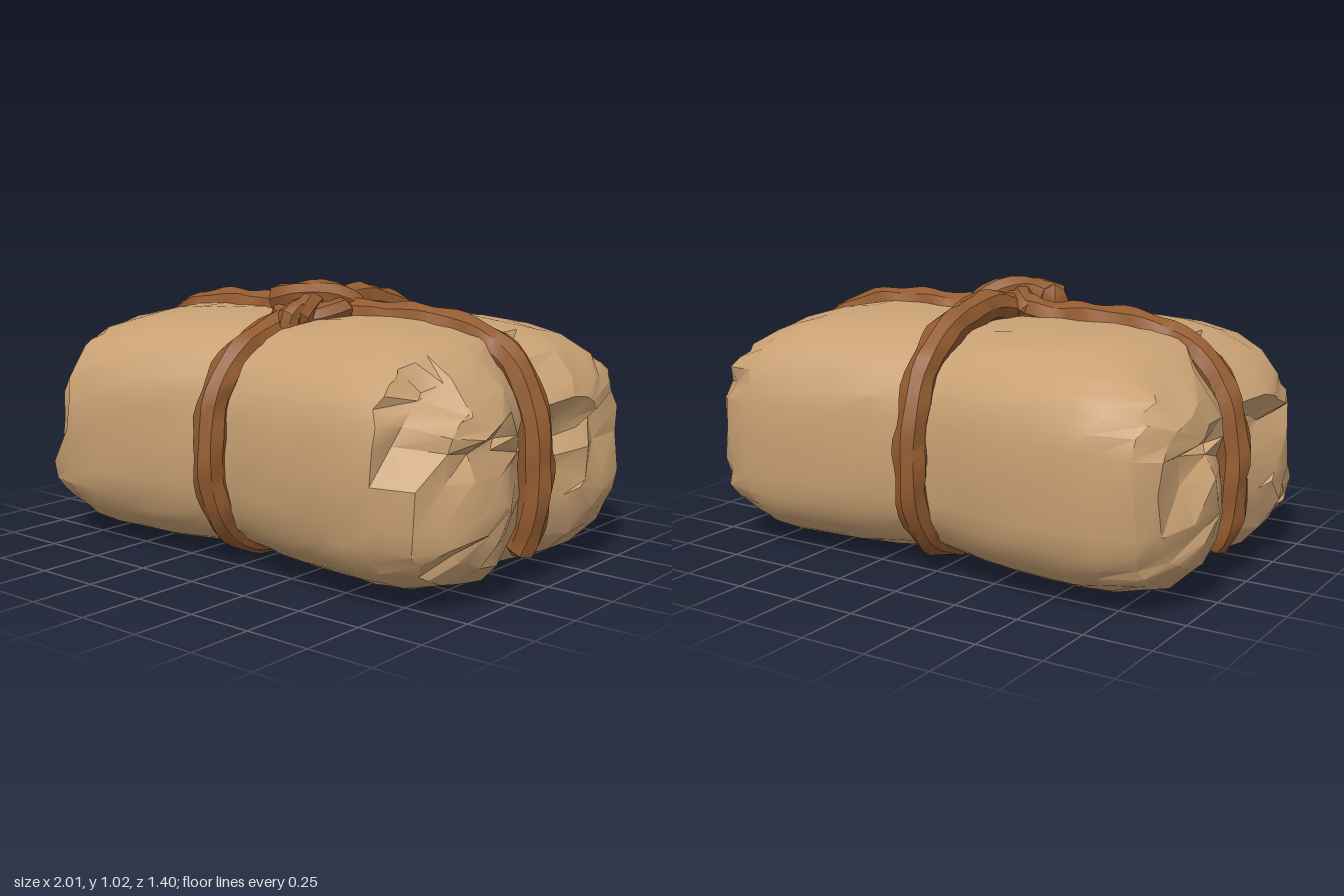
import * as THREE from 'three';
import { toCreasedNormals } from 'three/addons/utils/BufferGeometryUtils.js';

const paper = new THREE.MeshStandardMaterial({ name: 'kraft paper', color: 0xc8a073 });
const twine = new THREE.MeshStandardMaterial({ name: 'brown rope', color: 0x935b30 });

// Repeatable jitter in -1..1
const jitter = (a, b, c, d = 0) => {
  const s = Math.sin(a * 127.1 + b * 311.7 + c * 74.7 + d * 19.3 + 4.1) * 43758.5453;
  return 2 * (s - Math.floor(s)) - 1;
};
const bump = (v, centre, width) => Math.exp(-(((v - centre) / width) ** 2));
const power = (v, e) => Math.sign(v) * Math.abs(v) ** e;

// Half profile from the waist to the middle of an end: [x, z scale, top scale, bottom scale]
const STEPS = 6;
const profile = [
  [0, 0.9, 0.94, 0.93], [0.1, 0.92, 0.965, 0.96], [0.21, 0.945, 0.985, 0.98],
  [0.35, 0.965, 1, 1], [0.49, 0.98, 1, 1], [0.62, 1, 0.98, 1], [0.73, 0.995, 0.93, 0.98],
  [0.86, 0.94, 0.79, 0.9], [0.935, 0.83, 0.61, 0.74], [0.965, 0.62, 0.45, 0.55],
  [0.965, 0.41, 0.3, 0.37], [0.96, 0.2, 0.15, 0.18], [0.955, 0, 0, 0],
];
// Crumpled dents in both ends: [z, y, width, depth]
const dents = [
  [0.23, 0.47, 0.08, 0.05], [-0.44, 0.45, 0.09, 0.06], [0.5, 0.5, 0.08, 0.05], [0.17, 0.2, 0.07, 0.03],
];

// A gridded box whose vertices are moved onto the rounded, creased bundle
function bundleGeometry() {
  const geometry = new THREE.BoxGeometry(2, 2, 2, 2 * STEPS, 2 * STEPS, 2 * STEPS);
  const position = geometry.attributes.position;
  for (let n = 0; n < position.count; n++) {
    const i = Math.round(position.getX(n) * STEPS);
    const j = Math.round(position.getY(n) * STEPS);
    const k = Math.round(position.getZ(n) * STEPS);
    const ring = Math.max(Math.abs(j), Math.abs(k));
    const depth = Math.abs(i) + STEPS - ring;
    const [x0, sz, top, bottom] = profile[depth];
    const end = Math.sign(i);
    const length = Math.hypot(j, k) || 1;
    const c = k / length, s = j / length;
    const cap = THREE.MathUtils.smoothstep(x0, 0.68, 0.92);

    // Rounded section, fuller at the back and flat underneath, gently uneven along its length
    const uneven = 1 + 0.012 * Math.sin(5 * x0 * end + 4 * c + 1) + 0.01 * jitter(i, j, k, 1);
    const e = s < 0 ? 0.6 : 0.69 + 0.02 * Math.sign(c);
    let z = 0.685 * sz * power(c, e) * uneven;
    let y = 0.45 + (s < 0 ? 0.44 * bottom : 0.455 * top * uneven) * power(s, e);
    let x = x0 + 0.02 * jitter(i, j, k, 2) * (depth > 1 && depth < 8 ? 1 : 0);

    // Grooves pressed in by the lengthwise rope
    y -= 0.045 * cap * bump(z, 0, 0.12) * s;

    // Ends: lobes either side of the rope, a horizontal fold and dents
    let push = 0.03 * bump(Math.abs(z), 0.3, 0.17) * bump(y, 0.36, 0.22) - 0.085 * bump(z, 0, 0.13);
    if (Math.abs(z) < 0.5 && y > 0.49 && y < 0.57) push -= 0.05;
    for (const [dz, dy, w, deep] of dents) push -= deep * bump(z, dz, w) * bump(y, dy, w);
    x += cap * (push + 0.01 * jitter(i, j, k, 3));
    if (ring > 0) {
      z += 0.014 * cap * jitter(i, j, k, 4);
      y += 0.01 * cap * jitter(i, j, k, 5);
    }

    // Tucked paper edge at the front corners
    if (depth > STEPS && ring > 3 && z > 0.42 && y > (end < 0 ? 0.3 : 0.45)) {
      z -= 0.04 + 0.015 * jitter(i, j, k, 6);
      if (depth === STEPS + 1 && k === ring) x -= 0.08;
    }
    position.setXYZ(n, end * x, Math.max(y, 0.01), z);
  }
  geometry.deleteAttribute('uv');
  geometry.clearGroups();
  return toCreasedNormals(geometry, 0.5);
}

// Twisted, faceted rope along a smooth curve; open ends are drawn to a point
function rope(name, points, radius, closed = false) {
  const curve = new THREE.CatmullRomCurve3(points.map((p) => new THREE.Vector3(...p)), closed);
  const segments = Math.max(8, Math.round(curve.getLength() / 0.045));
  const sides = 8;
  const geometry = new THREE.TubeGeometry(curve, segments, radius, sides, closed);
  const position = geometry.attributes.position;
  const v = new THREE.Vector3();
  const turns = Math.round(segments / 5);
  for (let i = 0; i <= segments; i++) {
    const centre = curve.getPointAt(i / segments);
    const tip = !closed && (i === 0 || i === segments);
    for (let j = 0; j <= sides; j++) {
      const n = i * (sides + 1) + j;
      const twist = Math.sin((j / sides) * Math.PI * 4 + (i / segments) * turns * Math.PI * 2);
      const scale = tip ? 0 : 1 + 0.09 * twist + 0.05 * jitter(i % segments, j % sides, 0);
      v.fromBufferAttribute(position, n).sub(centre).multiplyScalar(scale).add(centre);
      position.setXYZ(n, v.x, v.y, v.z);
    }
  }
  geometry.deleteAttribute('uv');
  const mesh = new THREE.Mesh(toCreasedNormals(geometry, 0.55), twine);
  mesh.name = name;
  return mesh;
}

export function createModel() {
  const model = new THREE.Group();
  model.name = 'tiedBundle';

  const bundle = new THREE.Mesh(bundleGeometry(), paper);
  bundle.name = 'paperBundle';
  model.add(bundle);

  // Lengthwise rope, tucked into the bundle below each end
  const half = [[0.2, 0.89], [0.42, 0.895], [0.6, 0.88], [0.72, 0.845], [0.82, 0.785], [0.89, 0.68],
    [0.932, 0.52], [0.935, 0.36], [0.915, 0.22], [0.85, 0.09]];
  model.add(rope('lengthwiseRope', [
    ...half.slice().reverse().map(([x, y]) => [-x, y, 0.02 - 0.04 * x]),
    [0, 0.91, 0.02],
    ...half.map(([x, y]) => [x, y, 0]),
  ], 0.062));

  // Crosswise rope, a closed loop around the waist
  const loop = [[0, 0.91], [-0.12, 0.932], [-0.3, 0.91], [-0.45, 0.85], [-0.57, 0.73],
    [-0.62, 0.58], [-0.637, 0.43], [-0.61, 0.26], [-0.51, 0.14], [-0.36, 0.085], [0, 0.072],
    [0.36, 0.085], [0.51, 0.14], [0.61, 0.27], [0.637, 0.45], [0.595, 0.66], [0.48, 0.78],
    [0.3, 0.85], [0.12, 0.895]];
  model.add(rope('crosswiseRope', loop.map(([z, y]) => [z < 0 ? 0.01 : -0.01, y, z]), 0.061, true));

  // Knot where the ropes cross
  const knot = new THREE.Group();
  knot.name = 'knot';
  knot.add(
    rope('knotTopStrand', [[-0.17, 0.94, 0.05], [-0.11, 0.945, 0.13], [-0.02, 0.967, 0.12],
      [0.06, 0.96, 0.04], [0.14, 0.9, -0.06]], 0.056),
    rope('knotUnderStrand', [[-0.12, 0.88, -0.01], [-0.05, 0.93, 0.02], [0.01, 0.94, 0.1],
      [0.05, 0.92, 0.19], [0.06, 0.86, 0.26]], 0.05),
    rope('knotCollar', [[-0.13, 0.91, 0.1], [-0.07, 0.88, 0.17], [0.02, 0.88, 0.19],
      [0.1, 0.9, 0.12], [0.13, 0.93, 0.01]], 0.05),
    rope('knotTail', [[0, 0.91, 0.14], [0.04, 0.92, 0.22], [0.04, 0.9, 0.26], [0.03, 0.82, 0.27]], 0.046),
  );
  model.add(knot);
  return model;
}
